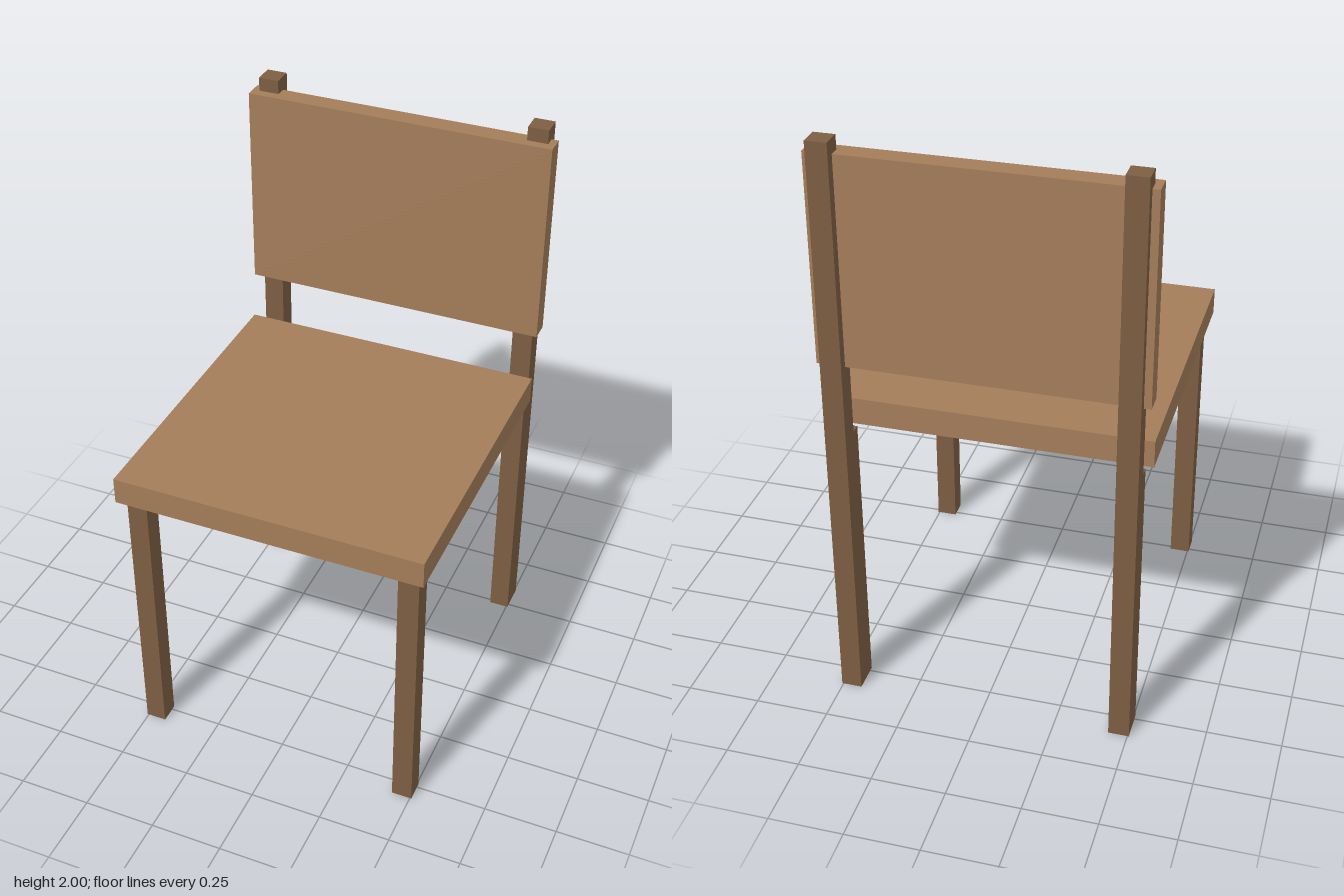
import * as THREE from 'three';

export function createModel() {
  const group = new THREE.Group();
  const lightWood = new THREE.MeshStandardMaterial({ color: 0xa47d5a });
  const darkWood = new THREE.MeshStandardMaterial({ color: 0x7d5e42 });

  // Box given by its size, bottom height and horizontal centre
  function board(name, material, [w, h, d], x, bottom, z) {
    const mesh = new THREE.Mesh(new THREE.BoxGeometry(w, h, d), material);
    mesh.name = name;
    mesh.position.set(x, bottom + h / 2, z);
    group.add(mesh);
  }

  const thick = 0.07;
  const seatBottom = 0.992;

  // Seat panel and backrest panel
  board('seat', lightWood, [1.058, 0.093, 1.058], 0, seatBottom, 0.058);
  board('backrest', lightWood, [1.058, 0.705, thick], 0, 1.248, -0.52);

  // Legs under the seat, with a full-height post behind each rear leg
  for (const [side, s] of [['left', 1], ['right', -1]]) {
    const x = s * 0.47;
    board(side + 'FrontLeg', darkWood, [thick, seatBottom, thick], x, 0, 0.52);
    board(side + 'RearLeg', darkWood, [thick, seatBottom, thick], x, 0, -0.52);
    board(side + 'BackPost', darkWood, [thick, 2, thick], x, 0, -0.553);
  }
  return group;
}
